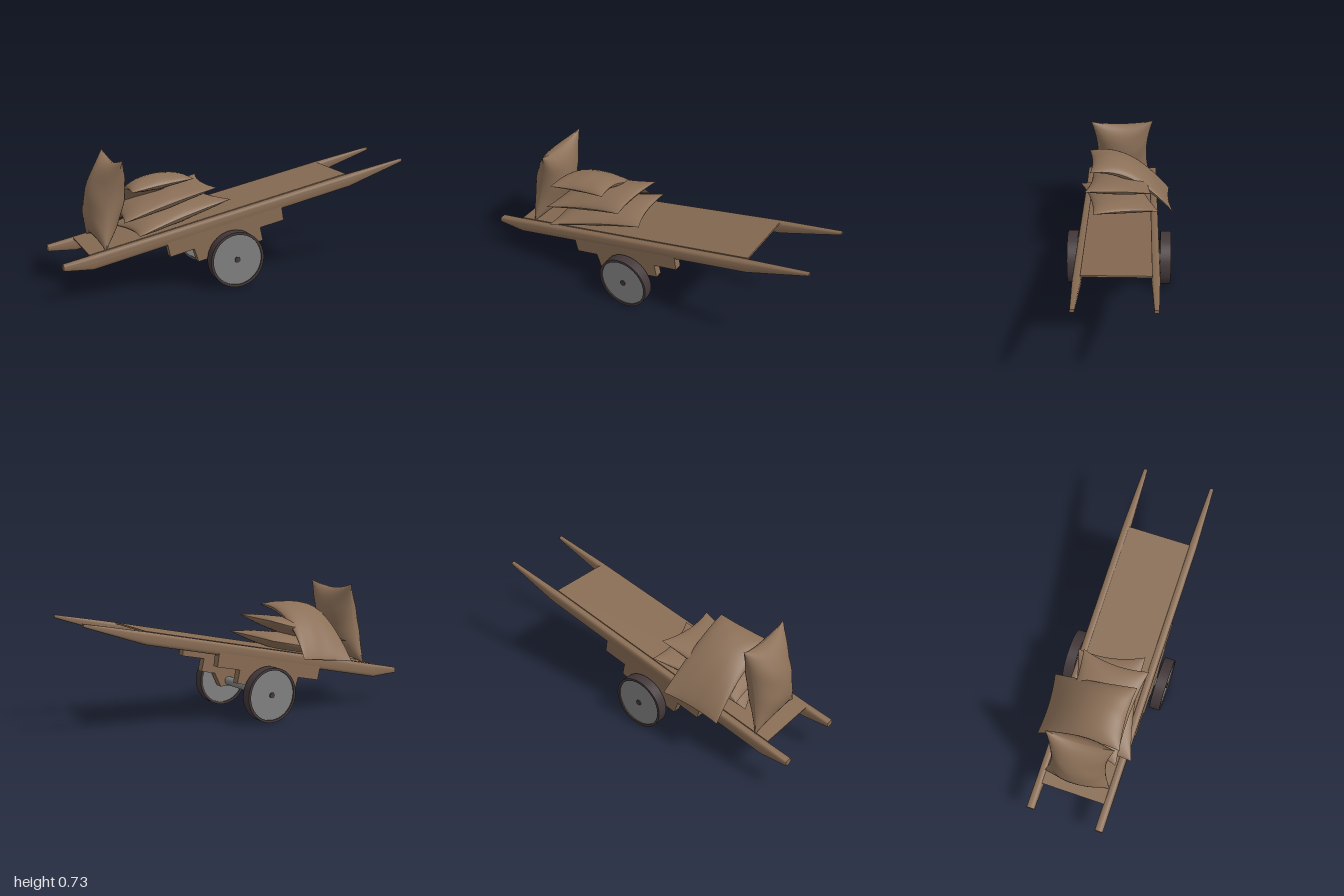
import * as THREE from 'three';

const material = (name, color) => {
  const m = new THREE.MeshStandardMaterial({ color });
  m.name = name;
  return m;
};

export function createModel() {
  const wood = material('wood', 0x876b53);
  const cloth = material('sackcloth', 0x8c7058);
  const metal = material('metal', 0x808080);
  const rubber = material('tyre', 0x43383a);

  const cart = new THREE.Group();
  cart.name = 'handcart';
  const MID = 0.0065; // centre plane of the cart
  const add = (name, geometry, mat, x = 0, y = 0, z = 0, parent = cart) => {
    const mesh = new THREE.Mesh(geometry, mat);
    mesh.name = name;
    mesh.position.set(x, y, z);
    parent.add(mesh);
    return mesh;
  };

  // Rounded side rail, tapering into a handle: [x, top, bottom, half width]
  const stations = [
    [1, 0.622, 0.604, 0.012], [0.66, 0.556, 0.486, 0.0235],
    [-0.84, 0.24, 0.163, 0.0235], [-1, 0.206, 0.172, 0.0235],
  ];
  const squarish = (v) => Math.sign(v) * Math.abs(v) ** 0.6;
  function railGeometry() {
    const g = new THREE.CylinderGeometry(1, 1, 1, 20, 3);
    const p = g.attributes.position;
    for (let i = 0; i < p.count; i++) {
      const [x, top, bottom, half] = stations[Math.round((0.5 - p.getY(i)) * 3)];
      const up = squarish(-p.getX(i));
      const side = squarish(p.getZ(i));
      p.setXYZ(i, x, (top + bottom) / 2 + (up * (top - bottom)) / 2, side * half);
    }
    g.computeVertexNormals();
    return g;
  }

  // Stepped bracket between rail and axle
  const outline = [
    [-0.445, 0.29], [-0.422, 0.19], [-0.286, 0.219], [-0.262, 0.145], [-0.17, 0.165],
    [-0.13, 0.124], [-0.01, 0.124], [0.03, 0.208], [0.118, 0.227], [0.102, 0.301],
    [0.243, 0.331], [0.227, 0.43],
  ].map(([x, y]) => new THREE.Vector2(x, y));
  const bracket = new THREE.ExtrudeGeometry(new THREE.Shape(outline), { depth: 0.045, bevelEnabled: false });
  bracket.translate(0, 0, -0.0225);

  // Wheel parts, all turned about the axle direction
  const AXLE_X = -0.063, AXLE_Y = 0.154;
  const disc = (r, depth, n = 40) => new THREE.CylinderGeometry(r, r, depth, n).rotateX(Math.PI / 2);
  const ring = new THREE.Shape().absarc(0, 0, 0.154, 0, Math.PI * 2);
  ring.holes.push(new THREE.Path().absarc(0, 0, 0.14, 0, Math.PI * 2, true));
  const tyre = new THREE.ExtrudeGeometry(ring, { depth: 0.06, bevelEnabled: false, curveSegments: 40 });
  tyre.translate(0, 0, -0.03);

  for (const [side, s] of [['left', 1], ['right', -1]]) {
    add(side + 'Rail', railGeometry(), wood, 0, 0, MID + s * 0.2);
    add(side + 'Bracket', bracket, wood, 0, 0, MID + s * 0.2);
    const wheel = new THREE.Group();
    wheel.name = side + 'Wheel';
    wheel.position.set(AXLE_X, AXLE_Y, MID + s * 0.268);
    add('tyre', tyre, rubber, 0, 0, 0, wheel);
    add('wheelDisc', disc(0.141, 0.046), metal, 0, 0, 0, wheel);
    add('hubCap', disc(0.016, 0.01, 12), rubber, 0, 0, s * 0.024, wheel);
    cart.add(wheel);
  }
  add('axle', disc(0.025, 0.53, 20), metal, AXLE_X, AXLE_Y, MID);

  // Sloping load bed
  const bed = add('bed', new THREE.BoxGeometry(1.538, 0.009, 0.365), wood, -0.1025, 0.392, MID);
  bed.rotation.z = 0.208;

  // Stuffed sack: two bulging sheets meeting at a seam with pulled-out corners
  function sackGeometry(a, h, b, pinchX, pinchZ, droop) {
    const n = 20;
    const pos = [], index = [];
    for (const face of [1, -1]) {
      const start = pos.length / 3;
      for (let j = 0; j <= n; j++) {
        for (let i = 0; i <= n; i++) {
          const u = Math.sin((i / n - 0.5) * Math.PI);
          const v = Math.sin((j / n - 0.5) * Math.PI);
          const bulge = Math.max(0, (1 - u * u) * (1 - v * v)) ** 0.55;
          const crease = 1 + 0.05 * Math.sin(9 * u + 2 * v) * Math.abs(v);
          pos.push(
            a * u * (1 - pinchX * (1 - v * v)),
            face * h * bulge * crease + droop * (1.6 * v - v * v),
            b * v * (1 - pinchZ * (1 - u * u)),
          );
          if (i < n && j < n) {
            const q = start + j * (n + 1) + i, r = q + n + 1;
            if (face > 0) index.push(q, r, q + 1, q + 1, r, r + 1);
            else index.push(q, q + 1, r, q + 1, r + 1, r);
          }
        }
      }
    }
    const g = new THREE.BufferGeometry();
    g.setAttribute('position', new THREE.Float32BufferAttribute(pos, 3));
    g.setIndex(index);
    g.computeVertexNormals();
    return g;
  }

  // name, centre, half sizes, pinch along and across, droop, yaw, tilt
  const sacks = [
    ['bottomSack', [-0.355, 0.385, 0.02], [0.29, 0.052, 0.19], 0.1, 0.12, 0, 0.18, 0.235],
    ['middleSack', [-0.4, 0.468, 0.01], [0.27, 0.05, 0.19], 0.1, 0.12, 0, -0.03, 0.29],
    ['topSack', [-0.45, 0.525, -0.055], [0.175, 0.055, 0.245], 0.1, 0.06, 0.08, 0.05, 0.13],
    ['uprightSack', [-0.722, 0.487, 0.003], [0.245, 0.105, 0.188], 0.14, 0.2, 0, 0, 1.36],
  ];
  for (const [name, centre, half, pinchX, pinchZ, droop, yaw, tilt] of sacks) {
    const sack = add(name, sackGeometry(...half, pinchX, pinchZ, droop), cloth, ...centre);
    sack.rotation.set(name === 'uprightSack' ? 0.04 : 0, yaw, tilt, 'ZYX');
  }
  return cart;
}
